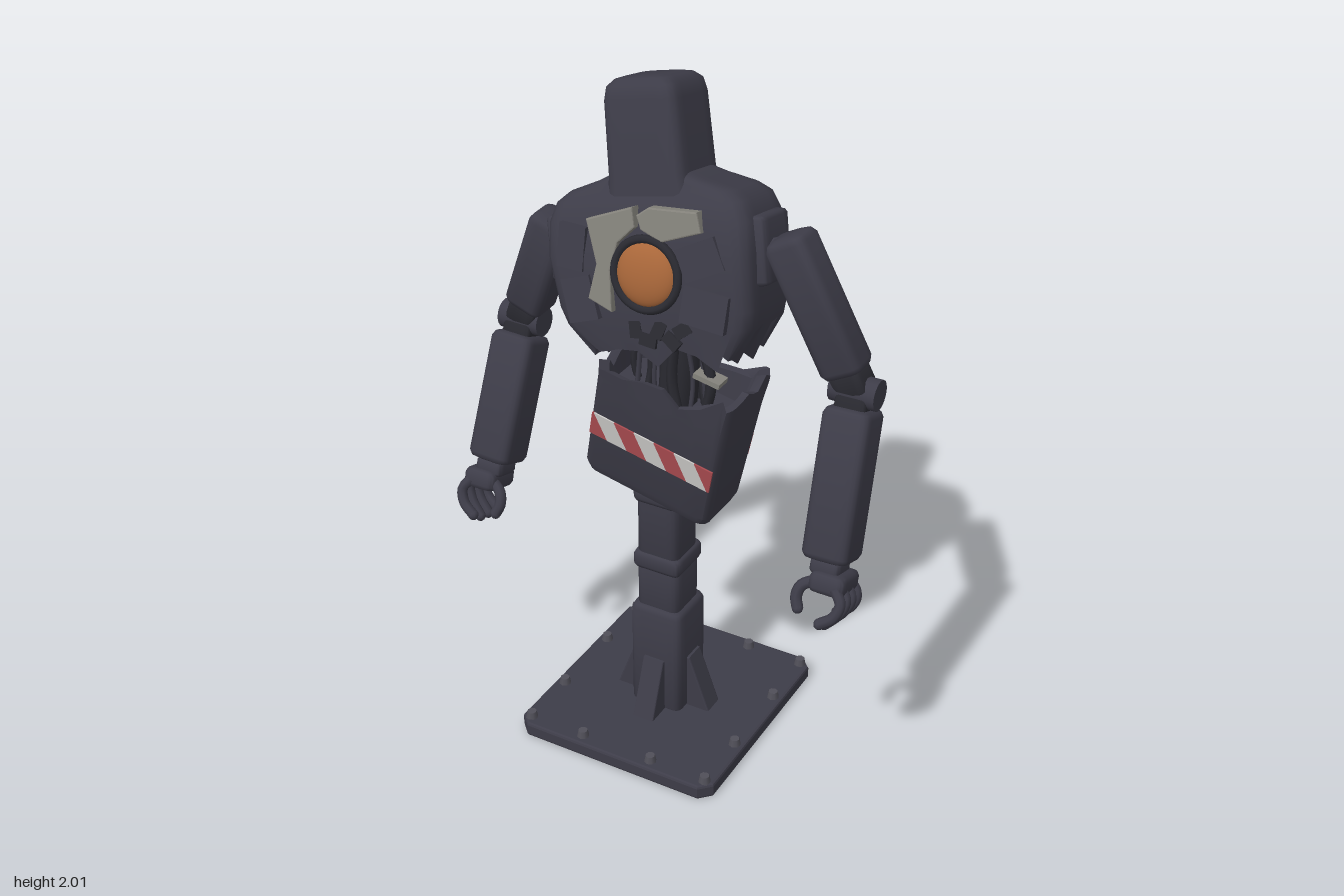
import * as THREE from 'three';
import { toCreasedNormals } from 'three/addons/utils/BufferGeometryUtils.js';

const V = (x, y, z) => new THREE.Vector3(x, y, z);
const paint = (name, color) => Object.assign(new THREE.MeshStandardMaterial({ color }), { name });

// Rounded rectangle ring in the xz plane, with extra points along its sides
const EDGE = 5, ARC = 4;
function ring({ y, hw, hd, r = 0.03, cx = 0, cz = 0, jag }) {
  const corners = [[1, 1], [-1, 1], [-1, -1], [1, -1]];
  r = Math.min(r, hw, hd);
  const at = (q, t) => {
    const [sx, sz] = corners[q % 4], a = (q % 4 + t) * Math.PI / 2;
    return V(cx + sx * (hw - r) + r * Math.cos(a), y, cz + sz * (hd - r) + r * Math.sin(a));
  };
  const pts = [];
  for (let q = 0; q < 4; q++) {
    for (let i = 0; i < ARC; i++) pts.push(at(q, i / (ARC - 1)));
    for (let i = 1; i <= EDGE; i++) pts.push(at(q, 1).lerp(at(q + 1, 0), i / (EDGE + 1)));
  }
  if (jag) pts.forEach((p, j) => { p.y += jag(p.x, j); });
  return pts;
}

// Skin over rings, closed with a fan at both ends
function loft(sections, crease = 0.6) {
  const rings = sections.map(ring), pos = [], n = rings[0].length;
  const tri = (...ps) => ps.forEach(p => pos.push(p.x, p.y, p.z));
  const mid = pts => pts.reduce((s, p) => s.add(p), V(0, 0, 0)).divideScalar(n);
  const a = rings[0], b = rings[rings.length - 1], ca = mid(a), cb = mid(b);
  for (let j = 0; j < n; j++) {
    const k = (j + 1) % n;
    for (let i = 0; i + 1 < rings.length; i++) {
      const lo = rings[i], up = rings[i + 1];
      tri(lo[j], up[j], up[k]);
      tri(lo[j], up[k], lo[k]);
    }
    tri(ca, a[j], a[k]);
    tri(cb, b[k], b[j]);
  }
  const g = new THREE.BufferGeometry();
  g.setAttribute('position', new THREE.Float32BufferAttribute(pos, 3));
  return toCreasedNormals(g, crease);
}

// Soft-edged block standing from y0 to y1
const block = (y0, y1, hw, hd, e = 0.02, top = 1) => loft([
  { y: y0, hw: hw - e, hd: hd - e, r: e }, { y: y0 + e * 0.3, hw: hw - e * 0.3, hd: hd - e * 0.3, r: e },
  { y: y0 + e, hw, hd, r: e }, { y: y1 - e, hw: hw * top, hd: hd * top, r: e },
  { y: y1 - e * 0.3, hw: hw * top - e * 0.3, hd: hd * top - e * 0.3, r: e },
  { y: y1, hw: hw * top - e, hd: hd * top - e, r: e }], 0.9);

const plate = (pts, depth, bevel = 0) => new THREE.ExtrudeGeometry(
  new THREE.Shape(pts.map(p => new THREE.Vector2(...p))),
  { depth, bevelEnabled: bevel > 0, bevelSize: bevel, bevelThickness: bevel, bevelSegments: 2 });

export function createModel() {
  const body = paint('charcoal shell', 0x3d3c48), dark = paint('dark mechanism', 0x2a2a31);
  const grey = paint('grey padding', 0x85837c), orange = paint('orange core', 0xa9673a);
  const white = paint('stripe white', 0xc9c7c5), red = paint('stripe red', 0xa94b50);
  const steel = paint('bolt steel', 0x504f58);

  const model = new THREE.Group();
  model.name = 'mannequin';
  const add = (parent, name, geo, mat, x = 0, y = 0, z = 0) => {
    const m = new THREE.Mesh(geo, mat);
    m.name = name;
    m.position.set(x, y, z);
    parent.add(m);
    return m;
  };
  const group = (name, p, rx = 0, rz = 0) => {
    const g = new THREE.Group();
    g.name = name;
    g.position.copy(p);
    g.rotation.set(rx, 0, rz);
    model.add(g);
    return g;
  };
  const tube = (parent, name, pts, r, mat, sides = 8) => add(parent, name,
    new THREE.TubeGeometry(new THREE.CatmullRomCurve3(pts), 12, r, sides), mat);

  // Base plate with chamfered corners and bolts
  const PX = -0.065, w = 0.317, d = 0.337, c = 0.03;
  const base = plate([[-w + c, -d], [w - c, -d], [w, -d + c], [w, d - c], [w - c, d], [-w + c, d], [-w, d - c], [-w, -d + c]], 0.03, 0.008);
  base.rotateX(-Math.PI / 2);
  add(model, 'basePlate', base, body, PX, 0.008, 0);
  for (const x of [-0.36, -0.18, 0.05, 0.23]) for (const z of [-0.31, -0.125, 0.125, 0.31]) {
    if (Math.abs(z) < 0.2 && Math.abs(x - PX) < 0.2) continue;
    add(model, 'bolt', new THREE.CylinderGeometry(0.014, 0.019, 0.024, 8), steel, x, 0.055, z);
  }

  // Post with four gussets
  add(model, 'lowerPost', block(0.03, 0.4, 0.083, 0.083, 0.02), body, PX);
  add(model, 'middlePost', block(0.36, 0.56, 0.068, 0.068), body, PX);
  add(model, 'postCollar', block(0.525, 0.585, 0.076, 0.076, 0.015), body, PX);
  add(model, 'upperPost', block(0.56, 0.9, 0.067, 0.064), body, PX, 0, 0.003);
  add(model, 'hipCollar', block(0.755, 0.81, 0.072, 0.078, 0.015), body, PX);
  for (let i = 0; i < 4; i++) {
    const g = plate([[0.07, 0.04], [0.155, 0.04], [0.145, 0.065], [0.088, 0.22], [0.07, 0.22]], 0.06, 0.004);
    g.translate(0, 0, -0.03);
    add(model, 'gusset', g, body, PX).rotation.y = i * Math.PI / 2;
  }

  // Hollow hip shell, torn open along the top
  const hips = group('hips', V(0, 1.03, 0.06), 0, -0.22);
  const tornTop = (x, j) => 0.014 * Math.sin(j * 4.7) + 0.012 * Math.sin(j * 2.3) + 0.07 * x + (x > 0.15 ? 0.035 : 0);
  const cx = -0.015;
  add(hips, 'hipShell', loft([
    { y: -0.22, hw: 0.17, hd: 0.07, cx, cz: -0.02 }, { y: -0.21, hw: 0.193, hd: 0.093, cx, cz: -0.018 },
    { y: -0.18, hw: 0.202, hd: 0.105, cx, cz: -0.015 }, { y: 0.13, hw: 0.203, hd: 0.122, cx, cz: 0.002 },
    { y: 0.18, hw: 0.207, hd: 0.125, cx, cz: 0.004, jag: tornTop },
    { y: 0.175, hw: 0.185, hd: 0.105, cx, cz: 0.004, jag: tornTop },
    { y: 0.1, hw: 0.175, hd: 0.095, cx }]), body);
  // Hazard bands, front and back
  for (const side of [1, -1]) {
    const band = new THREE.Group();
    band.name = side > 0 ? 'frontBand' : 'backBand';
    band.position.set(cx, -0.03, side > 0 ? 0.106 : -0.1215);
    band.rotation.set(side > 0 ? 0.11 : 0, side > 0 ? 0 : Math.PI, 0);
    hips.add(band);
    const H = 0.037, L = 0.192, step = 0.064, lean = 0.026;
    const clip = x => Math.max(-L, Math.min(L, x));
    for (let i = 0; i < 7; i++) {
      const a = -L - 0.032 + i * step, b = a + step;
      add(band, 'bandBlock', plate([[clip(a + lean), -H], [clip(b + lean), -H], [clip(b - lean), H], [clip(a - lean), H]], 0.005),
        i % 2 ? white : red);
    }
  }

  // Exposed spine and loose cables at the waist
  tube(model, 'spine', [V(0, 1.08, 0.06), V(0.01, 1.25, 0.06), V(-0.02, 1.45, 0.05)], 0.055, dark, 10);
  for (let i = 0; i < 12; i++) {
    const a = i * 2.4, k = 0.07 + 0.06 * ((i * 7) % 5) / 5;
    const x = 0.01 + k * Math.cos(a) * 1.2, z = 0.065 + k * 0.7 * Math.sin(a);
    tube(model, 'waistCable', [V(x, 1.12, z), V(x + 0.02 * Math.sin(i), 1.22, z + 0.012 * Math.cos(i * 3)), V(x * 0.8, 1.36, z)],
      0.007 + 0.004 * (i % 3), i % 3 ? dark : body, 6);
  }
  add(model, 'waistBracket', new THREE.BoxGeometry(0.08, 0.015, 0.05), grey, 0.12, 1.235, 0.09).rotation.z = -0.2;

  // Chest shell, torn along the bottom
  const chest = group('upperBody', V(-0.035, 1.5, 0.04), -0.19, 0.2);
  const tornEnd = (x, j) => 0.02 * Math.sin(j * 3.9) + 0.014 * Math.sin(j * 1.7) - 0.05 * x;
  add(chest, 'chestShell', loft([
    { y: -0.12, hw: 0.19, hd: 0.09, cz: -0.02 },
    { y: -0.2, hw: 0.185, hd: 0.1, cz: -0.02, jag: tornEnd },
    { y: -0.215, hw: 0.205, hd: 0.118, cz: -0.02, jag: tornEnd },
    { y: -0.14, hw: 0.275, hd: 0.126, cz: -0.014, r: 0.04 }, { y: -0.09, hw: 0.29, hd: 0.129, cz: -0.01, r: 0.04 },
    { y: 0.05, hw: 0.3, hd: 0.133, r: 0.04 }, { y: 0.14, hw: 0.298, hd: 0.125, cz: -0.005, r: 0.045 },
    { y: 0.19, hw: 0.278, hd: 0.115, cz: -0.01, r: 0.045 }, { y: 0.215, hw: 0.245, hd: 0.1, cz: -0.012, r: 0.045 },
    { y: 0.24, hw: 0.16, hd: 0.09, cz: -0.015 }, { y: 0.265, hw: 0.1, hd: 0.08, cz: -0.017 }], 0.75), body);
  // Head block rising straight from the shoulders
  add(chest, 'head', loft([
    { y: 0.15, hw: 0.125, hd: 0.11 }, { y: 0.26, hw: 0.112, hd: 0.108 }, { y: 0.45, hw: 0.107, hd: 0.105 },
    { y: 0.485, hw: 0.1, hd: 0.1 }, { y: 0.502, hw: 0.082, hd: 0.085 }, { y: 0.507, hw: 0.06, hd: 0.065 }], 0.9), body, 0.0, 0, -0.015);

  // Core disc, ring and torn-open padding
  const disc = add(chest, 'coreDisc', new THREE.SphereGeometry(0.088, 32, 10, 0, Math.PI * 2, 0, Math.PI / 2), orange, 0.01, 0.01, 0.128);
  disc.rotation.x = Math.PI / 2;
  disc.scale.y = 0.4;
  add(chest, 'coreRing', new THREE.TorusGeometry(0.094, 0.012, 8, 36), dark, 0.01, 0.01, 0.135);
  add(chest, 'sidePadding', plate([[-0.148, 0.153], [-0.014, 0.182], [-0.013, 0.135], [-0.067, 0.095], [-0.098, 0.02],
    [-0.104, -0.086], [-0.164, -0.053], [-0.13, 0.037]], 0.03, 0.004), grey, 0, 0, 0.108);
  add(chest, 'topPadding', plate([[0.003, 0.163], [0.037, 0.181], [0.172, 0.169], [0.178, 0.122], [0.066, 0.099], [0.011, 0.13]],
    0.03, 0.004), grey, 0, 0, 0.106);
  // Bent shell flaps and scrap around the core
  for (const [x, y, sx, sy, rot] of [[0.17, 0.05, 0.12, 0.09, 0.3], [0.17, -0.08, 0.13, 0.1, -0.25], [-0.2, -0.06, 0.09, 0.12, 0.15], [-0.21, 0.08, 0.08, 0.12, -0.2]])
    add(chest, 'shellFlap', new THREE.BoxGeometry(sx, sy, 0.02), body, x, y, 0.126).rotation.set(0, 0, rot);
  for (let i = 0; i < 5; i++)
    add(chest, 'scrap', new THREE.BoxGeometry(0.035, 0.05, 0.03), dark, -0.05 + i * 0.035, -0.14 - 0.03 * (i % 2), 0.1).rotation.z = i * 1.3;
  for (const s of [1, -1])
    add(chest, 'shoulderPlate', block(-0.03, 0.15, 0.03, 0.075, 0.012), body, s * 0.295, 0, -0.005);

  // Arms: rounded segments hung between joint points
  const hang = (name, from, to) => {
    const g = group(name, from);
    g.quaternion.setFromUnitVectors(V(0, -1, 0), to.clone().sub(from).normalize());
    return g;
  };
  const arm = (s, socket, shoulder, elbow, wrist) => {
    const side = s > 0 ? 'left' : 'right';
    tube(model, side + 'ShoulderJoint', [socket, socket.clone().lerp(shoulder, 0.5), shoulder], 0.042, body, 12);
    const upper = hang(side + 'UpperArm', shoulder, elbow), len = shoulder.distanceTo(elbow);
    add(upper, 'upperArmShell', block(-len + 0.05, 0.05, 0.06, 0.054, 0.022), body);
    add(upper, 'elbowYoke', block(-len - 0.01, -len + 0.07, 0.045, 0.042, 0.012), dark);
    const pin = add(model, side + 'ElbowPin', new THREE.CylinderGeometry(0.043, 0.043, 0.13, 16), body, elbow.x, elbow.y, elbow.z);
    pin.rotation.z = Math.PI / 2;
    const fore = hang(side + 'Forearm', elbow, wrist), fl = elbow.distanceTo(wrist);
    add(fore, 'forearmShell', block(-fl + 0.01, -0.045, 0.066, 0.064, 0.02), body);
    add(fore, 'forearmNeck', block(-0.07, 0.02, 0.045, 0.04, 0.012), dark);
    // Open hand with hooked fingers
    const hand = hang(side + 'Hand', wrist, wrist.clone().add(V(0, -1, 0.3)));
    add(hand, 'wristCuff', block(-0.03, 0.02, 0.042, 0.045, 0.012), body);
    add(hand, 'palm', block(-0.075, -0.015, 0.05, 0.062, 0.016), body, s * 0.018);
    for (let i = 0; i < 4; i++) {
      const z = -0.051 + i * 0.034, drop = i === 0 || i === 3 ? 0.012 : 0;
      tube(hand, 'finger', [V(s * 0.045, -0.05, z), V(s * 0.068, -0.085, z * 1.1), V(s * 0.055, -0.125, z * 1.15), V(s * 0.02, -0.165 + drop, z * 1.15)], 0.0155, body);
      add(hand, 'fingertip', new THREE.SphereGeometry(0.0155, 8, 6), body, s * 0.02, -0.165 + drop, z * 1.15);
    }
    tube(hand, 'thumb', [V(-s * 0.015, -0.045, 0.03), V(-s * 0.052, -0.068, 0.045), V(-s * 0.06, -0.1, 0.05), V(-s * 0.05, -0.13, 0.052)], 0.016, body);
    add(hand, 'thumbTip', new THREE.SphereGeometry(0.016, 8, 6), body, -s * 0.05, -0.13, 0.052);
  };
  arm(1, V(0.2, 1.59, 0.03), V(0.33, 1.625, 0.03), V(0.515, 1.275, 0.025), V(0.53, 0.83, 0.175));
  arm(-1, V(-0.28, 1.53, 0.03), V(-0.41, 1.515, 0.02), V(-0.525, 1.215, 0.005), V(-0.54, 0.81, 0.165));
  return model;
}
